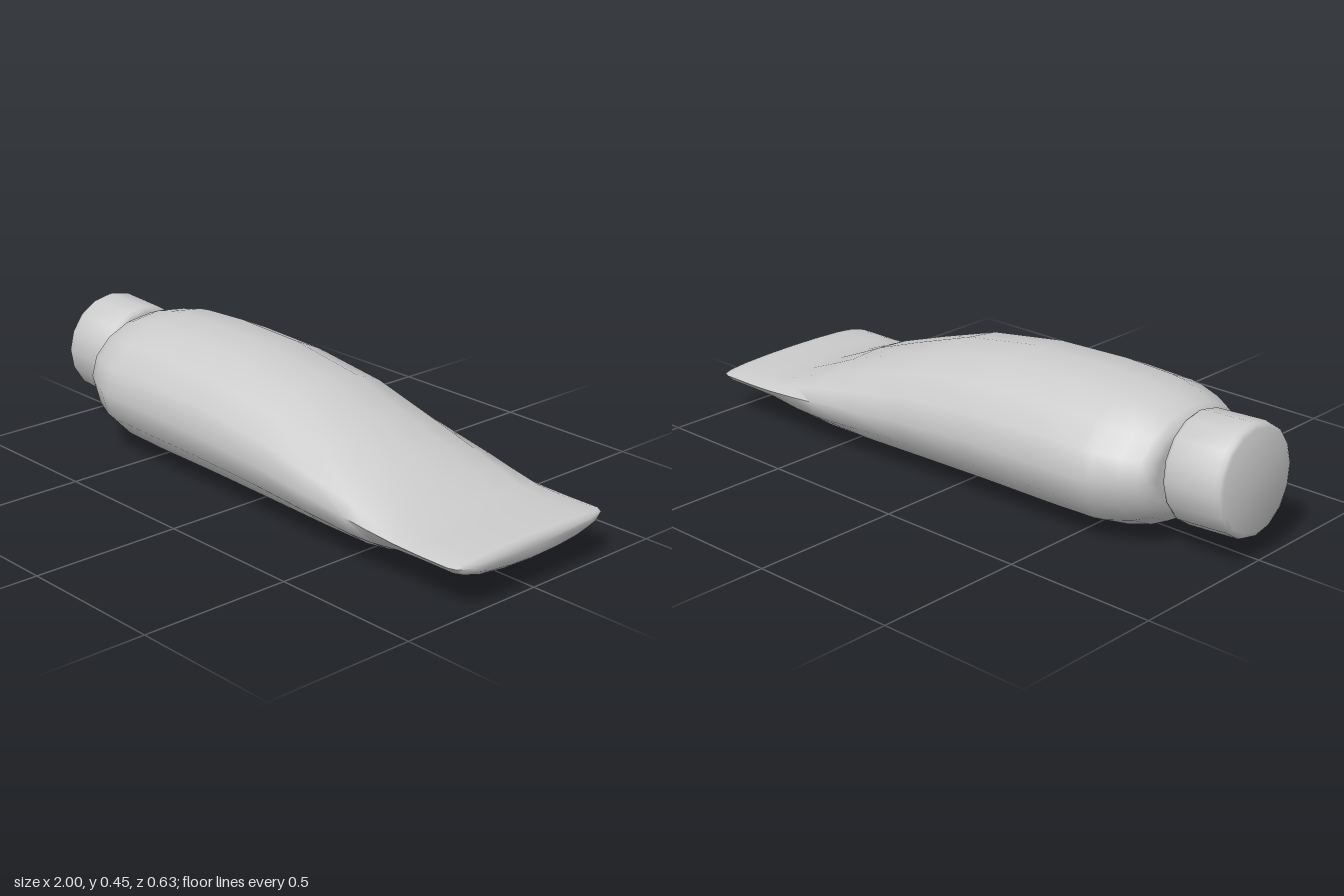
import * as THREE from 'three';
import { toCreasedNormals } from 'three/addons/utils/BufferGeometryUtils.js';

const SIDES = 16;
const material = new THREE.MeshStandardMaterial({ color: 0xcccccc });

// Lofts elliptical rings along x; each ring is [x, halfWidth, bottom, middle, top]
function loft(rings) {
  const positions = [], index = [];
  rings.forEach(([x, w, bottom, mid, top], i) => {
    for (let j = 0; j < SIDES; j++) {
      const t = (j / SIDES) * Math.PI * 2;
      const c = Math.cos(t);
      positions.push(x, mid + c * (c > 0 ? top - mid : mid - bottom), w * Math.sin(t));
      if (i === rings.length - 1) continue;
      const k = (j + 1) % SIDES;
      const a = i * SIDES + j, b = i * SIDES + k;
      index.push(a, b, b + SIDES, a, b + SIDES, a + SIDES);
    }
  });
  const geometry = new THREE.BufferGeometry();
  geometry.setAttribute('position', new THREE.Float32BufferAttribute(positions, 3));
  geometry.setIndex(index);
  return toCreasedNormals(geometry, 1.0);
}

function add(group, name, geometry) {
  const mesh = new THREE.Mesh(geometry, material);
  mesh.name = name;
  group.add(mesh);
  return mesh;
}

export function createModel() {
  const model = new THREE.Group();
  model.name = 'squeezeTube';

  // Round shoulder, full belly, then pinched into a flat crimped tail
  add(model, 'tubeBody', loft([
    [-0.755, 0, 0.24, 0.24, 0.24],
    [-0.77, 0.19, 0.13, 0.24, 0.36],
    [-0.765, 0.22, 0.095, 0.24, 0.385],
    [-0.74, 0.245, 0.062, 0.237, 0.403],
    [-0.69, 0.273, 0.037, 0.234, 0.423],
    [-0.61, 0.305, 0.016, 0.23, 0.44],
    [-0.57, 0.313, 0.011, 0.229, 0.444],
    [-0.4, 0.315, 0.005, 0.228, 0.452],
    [-0.14, 0.315, 0.004, 0.222, 0.443],
    [0.14, 0.315, 0.002, 0.205, 0.4],
    [0.37, 0.315, 0.004, 0.18, 0.325],
    [0.55, 0.315, 0.01, 0.162, 0.262],
    [0.64, 0.315, 0.03, 0.154, 0.222],
    [0.75, 0.315, 0.075, 0.147, 0.175],
    [0.84, 0.315, 0.084, 0.145, 0.165],
    [0.96, 0.314, 0.084, 0.145, 0.164],
    [0.985, 0.3, 0.087, 0.143, 0.162],
    [0.998, 0.25, 0.098, 0.137, 0.152],
    [1.0, 0, 0.13, 0.13, 0.13],
  ]));

  // Short neck joining shoulder and cap
  const neck = add(model, 'neck', new THREE.CylinderGeometry(0.12, 0.12, 0.14, SIDES));
  neck.rotation.z = Math.PI / 2;
  neck.position.set(-0.78, 0.238, -0.01);

  // Screw cap with softened rims, tilted slightly off the tube axis
  const profile = [
    [0, 0], [0.155, 0], [0.168, 0.005], [0.174, 0.018],
    [0.173, 0.188], [0.168, 0.202], [0.155, 0.208], [0, 0.208],
  ].map(([r, y]) => new THREE.Vector2(r, y));
  const cap = add(model, 'cap', toCreasedNormals(new THREE.LatheGeometry(profile, SIDES), 0.9));
  cap.rotation.z = Math.PI / 2 - 0.055;
  cap.position.set(-0.78, 0.237, -0.01);

  return model;
}
